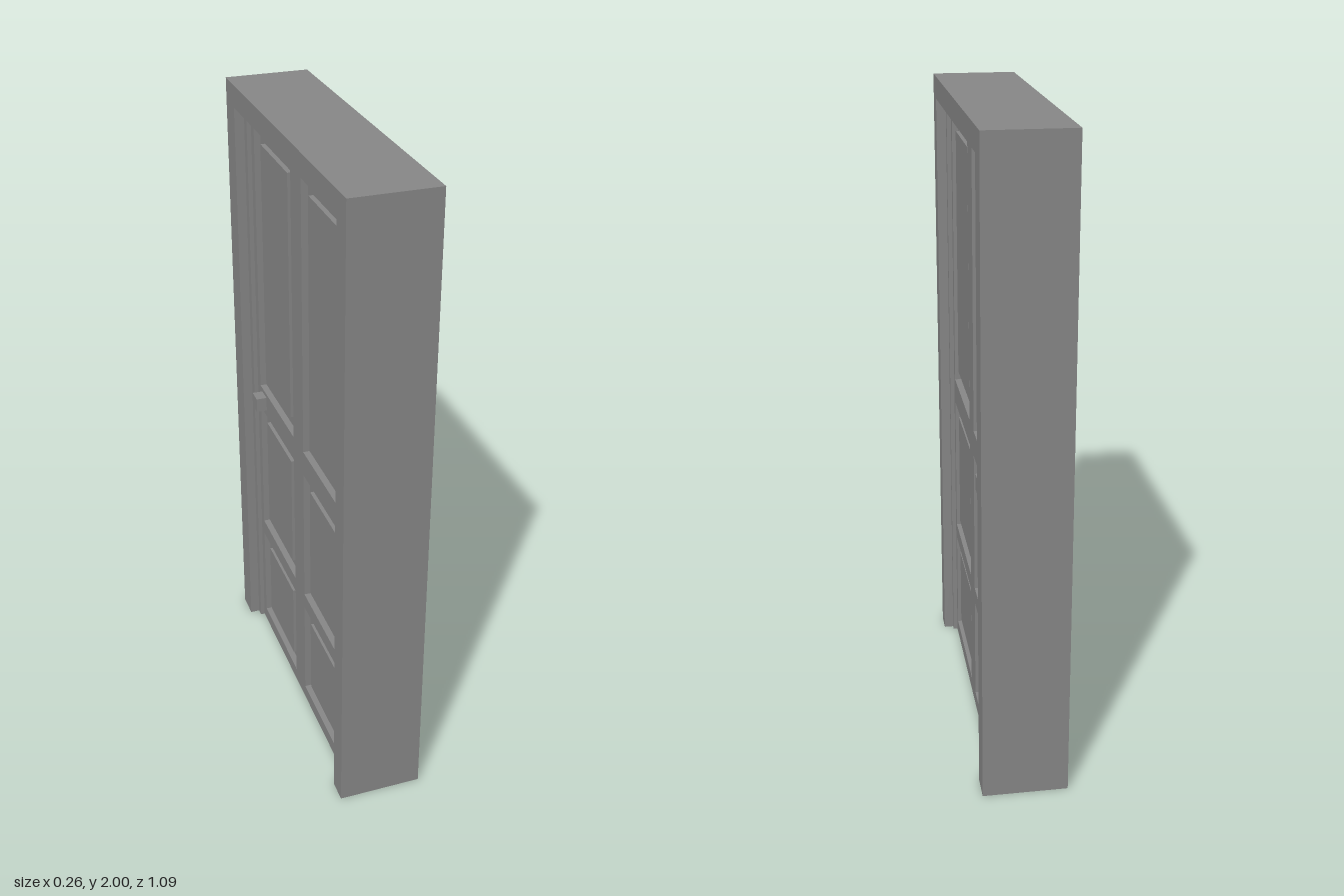
import * as THREE from 'three';

const mat = new THREE.MeshStandardMaterial({ color: 0x878787, flatShading: true });

// Rectangle outline as a list of points
const rect = (u0, u1, y0, y1) => [[u0, y0], [u1, y0], [u1, y1], [u0, y1]].map(p => new THREE.Vector2(...p));

// U-shaped surround standing on the floor, given as [left, right, top] outside and inside
function arch([a, b, t], [c, d, s]) {
  return new THREE.Shape([[a, 0], [c, 0], [c, s], [d, s], [d, 0], [b, 0], [b, t], [a, t]]
    .map(p => new THREE.Vector2(...p)));
}

// Extrude a shape symmetrically about the door's middle plane
function slab(name, shape, half) {
  const geo = new THREE.ExtrudeGeometry(shape, { depth: 2 * half, bevelEnabled: false });
  geo.translate(0, 0, -half);
  const mesh = new THREE.Mesh(geo, mat);
  mesh.name = name;
  return mesh;
}

function box(name, w, h, d, x, y, z) {
  const mesh = new THREE.Mesh(new THREE.BoxGeometry(w, h, d), mat);
  mesh.name = name;
  mesh.position.set(x, y, z);
  return mesh;
}

export function createModel() {
  const model = new THREE.Group();
  model.name = 'panelledDoor';

  // Drawn upright in a plane, then turned so that its faces look along x
  const door = new THREE.Group();
  door.name = 'doorAndFrame';
  door.rotation.y = Math.PI / 2;
  model.add(door);

  // Stepped frame
  const wall = [-0.543, 0.543, 2], opening = [-0.475, 0.46, 1.93], leaf = [-0.457, 0.435, 1.907];
  door.add(slab('outerFrame', arch(wall, opening), 0.131));
  door.add(slab('innerFrame', arch(opening, leaf), 0.1));

  // Door leaf with six panel openings
  const columns = [[-0.433, -0.05], [0.045, 0.407]];
  const rows = [[0.045, 0.387], [0.44, 0.907], [0.99, 1.887]];
  const leafShape = new THREE.Shape(rect(leaf[0], leaf[1], 0, leaf[2]));
  const panels = new THREE.Group();
  panels.name = 'panels';
  for (const [u0, u1] of columns) {
    for (const [y0, y1] of rows) {
      leafShape.holes.push(new THREE.Path(rect(u0, u1, y0, y1)));
      const w = u1 - u0, h = y1 - y0, u = (u0 + u1) / 2, y = (y0 + y1) / 2;
      const inset = h > 0.6 ? 0.045 : 0.037;
      panels.add(box('sunkPanel', w, h, 0.13, u, y, 0));
      panels.add(box('raisedField', w - 0.097, h - 2 * inset, 0.16, u, y, 0));
    }
  }
  door.add(slab('doorLeaf', leafShape, 0.086), panels);

  // Square knob on each face
  for (const side of [-1, 1]) door.add(box('knob', 0.048, 0.048, 0.045, 0.363, 0.953, side * 0.0975));
  return model;
}
